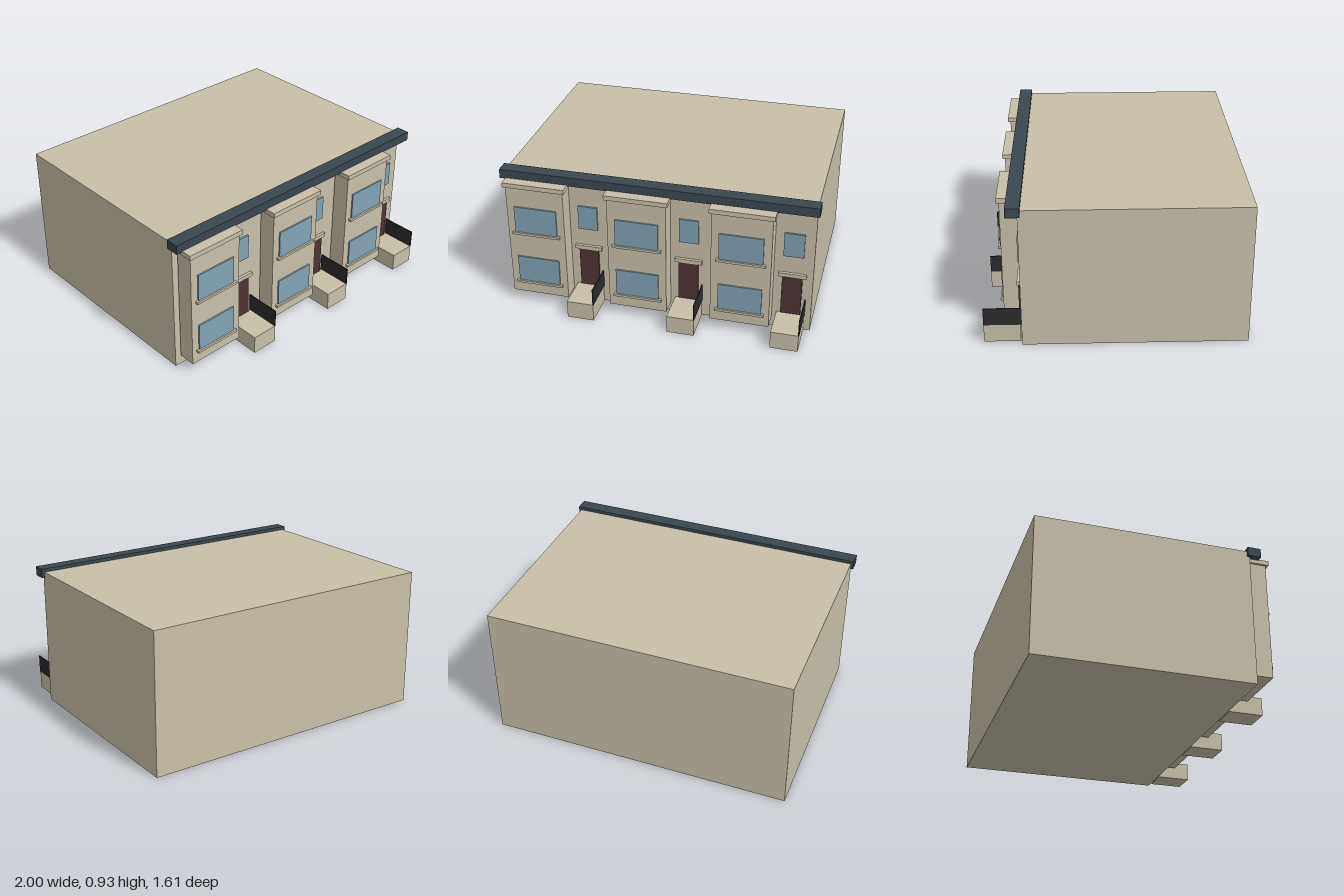
import * as THREE from 'three';

const material = (name, color) => {
  const m = new THREE.MeshStandardMaterial({ color });
  m.name = name;
  return m;
};

export function createModel() {
  const stone = material('sandstone', 0xc9bfaa);
  const glass = material('window blue', 0x82a3b5);
  const wood = material('door maroon', 0x4e3334);
  const slate = material('cornice slate', 0x3a4750);
  const iron = material('railing black', 0x2b2b2b);

  // Box given by its extents on each axis
  const box = (parent, name, mat, [x0, x1], [y0, y1], [z0, z1]) => {
    const mesh = new THREE.Mesh(new THREE.BoxGeometry(x1 - x0, y1 - y0, z1 - z0), mat);
    mesh.position.set((x0 + x1) / 2, (y0 + y1) / 2, (z0 + z1) / 2);
    mesh.name = name;
    parent.add(mesh);
  };
  const span = (centre, width) => [centre - width / 2, centre + width / 2];

  const model = new THREE.Group();
  model.name = 'terraceRow';
  const wall = 0.573, bayBack = 0.581, bayFront = 0.694;

  // Main block and the cornice along its front edge
  box(model, 'mainBlock', stone, [-0.982, 0.982], [0, 0.905], [-0.806, wall]);
  box(model, 'cornice', slate, [-1, 1], [0.867, 0.927], [0.556, 0.642]);

  // Three identical houses
  for (const x of [-0.655, 0, 0.655]) {
    const house = new THREE.Group();
    house.name = 'house';
    house.position.x = x;
    model.add(house);

    // Projecting bay with cap, windows and sills
    const bayX = -0.105;
    box(house, 'bay', stone, span(bayX, 0.374), [0.07, 0.842], [bayBack, bayFront]);
    box(house, 'bayCap', stone, span(bayX, 0.401), [0.842, 0.873], [0.577, 0.71]);
    for (const y of [0.163, 0.527]) {
      box(house, 'bayWindow', glass, span(bayX, 0.276), [y, y + 0.179], [bayFront, bayFront + 0.009]);
      box(house, 'windowSill', stone, span(bayX, 0.31), [y - 0.016, y], [bayFront, 0.714]);
    }

    // Entrance side: window, door, lintel, stoop and railing
    const doorX = 0.199;
    box(house, 'smallWindow', glass, span(doorX, 0.126), [0.535, 0.698], [wall, 0.584]);
    box(house, 'door', wood, span(doorX, 0.126), [0.118, 0.39], [wall, 0.587]);
    box(house, 'doorLintel', stone, span(doorX, 0.174), [0.39, 0.416], [0.575, 0.594]);
    box(house, 'stoop', stone, span(doorX, 0.174), [0, 0.118], [bayBack, 0.806]);
    box(house, 'railing', iron, span(0.286, 0.007), [0.118, 0.233], [0.575, 0.806]);
  }
  return model;
}
